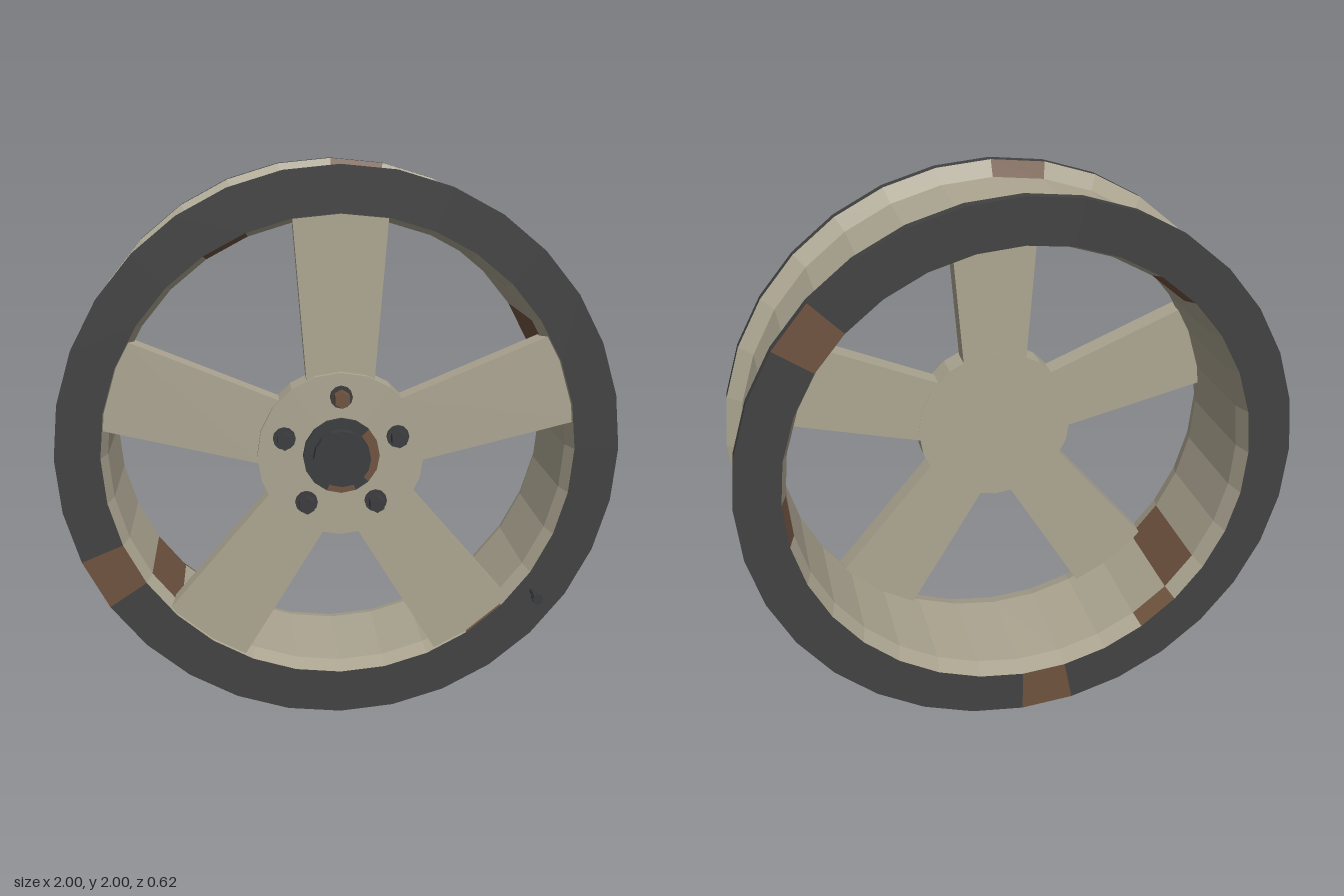
import * as THREE from 'three';

const tan = new THREE.MeshStandardMaterial({ name: 'sandMetal', color: 0xaca591 });
const dark = new THREE.MeshStandardMaterial({ name: 'darkRubber', color: 0x424242 });
const rust = new THREE.MeshStandardMaterial({ name: 'rust', color: 0x6f533f });
const steel = new THREE.MeshStandardMaterial({ name: 'darkSteel', color: 0x3b3c3e });
const SIDES = 32;

// Faceted normals
function flat(geometry) {
  const g = geometry.index ? geometry.toNonIndexed() : geometry;
  g.computeVertexNormals();
  return g;
}

function addMesh(parent, name, geometry, material) {
  const mesh = new THREE.Mesh(geometry, material);
  mesh.name = name;
  parent.add(mesh);
  return mesh;
}

// One band of revolution around z between [radius, z] points;
// listed segments, counted counter-clockwise from +x, are rusty
function band(parent, name, a, b, material, rusty = [], sides = SIDES) {
  const points = [new THREE.Vector2(...a), new THREE.Vector2(...b)];
  const g = new THREE.LatheGeometry(points, sides, Math.PI / 2);
  g.rotateX(Math.PI / 2);
  for (let i = 0; i < sides; i++) g.addGroup(i * 6, 6, rusty.includes(i) ? 1 : 0);
  addMesh(parent, name, flat(g), [material, rust]);
}

// Cylinder along z from z0 to z1
function disc(parent, name, r, z0, z1, sides, material, x = 0, y = 0) {
  const g = new THREE.CylinderGeometry(r, r, z1 - z0, sides);
  g.rotateX(Math.PI / 2);
  g.translate(x, y, (z0 + z1) / 2);
  return addMesh(parent, name, flat(g), material);
}

export function createModel() {
  const model = new THREE.Group();
  model.name = 'wheel';
  const wheel = new THREE.Group();
  wheel.name = 'wheelAssembly';
  wheel.position.y = 1;
  model.add(wheel);

  // Rim: closed section, outside back to front, then inside front to back
  const rim = new THREE.Group();
  rim.name = 'rim';
  wheel.add(rim);
  band(rim, 'backRimEdge', [1, -0.31], [1, -0.27], dark, [15]);
  band(rim, 'backFlare', [1, -0.27], [0.93, -0.24], tan, [7]);
  band(rim, 'outerBarrel', [0.93, -0.24], [0.945, 0.16], tan, [16]);
  band(rim, 'frontFlare', [0.945, 0.16], [1, 0.19], tan, [8, 28]);
  band(rim, 'frontRimEdge', [1, 0.19], [1, 0.225], dark, [0]);
  band(rim, 'frontFlange', [1, 0.225], [0.84, 0.225], dark, [18]);
  band(rim, 'frontBevel', [0.84, 0.225], [0.82, 0.16], tan, [10, 27]);
  band(rim, 'innerBarrel', [0.82, 0.16], [0.82, -0.24], tan, [2, 19]);
  band(rim, 'backBevel', [0.82, -0.24], [0.84, -0.31], tan, [11, 20, 31]);
  band(rim, 'backFlange', [0.84, -0.31], [1, -0.31], dark, [3, 23]);

  // Five tapered spokes
  const outline = new THREE.Shape([
    new THREE.Vector2(-0.119, 0.26), new THREE.Vector2(0.119, 0.26),
    new THREE.Vector2(0.166, 0.85), new THREE.Vector2(-0.166, 0.85),
  ]);
  const spokeGeometry = new THREE.ExtrudeGeometry(outline, { depth: 0.085, bevelEnabled: false });
  for (let i = 0; i < 5; i++) {
    const spoke = addMesh(wheel, 'spoke', spokeGeometry, tan);
    spoke.position.z = 0.131;
    spoke.rotation.z = i * Math.PI * 2 / 5;
  }

  // Hub with centre cap
  disc(wheel, 'hub', 0.295, 0.13, 0.237, 20, tan);
  band(wheel, 'capBaseEdge', [0.135, 0.235], [0.135, 0.255], steel, [0, 1, 11, 12, 14, 15], 16);
  band(wheel, 'capBaseFace', [0.135, 0.255], [0.09, 0.255], steel, [0, 1, 11, 12, 14, 15], 16);
  disc(wheel, 'centreCap', 0.1, 0.237, 0.298, 16, steel);

  // Wheel nuts on washers
  for (let i = 0; i < 5; i++) {
    const angle = Math.PI / 2 + i * Math.PI * 2 / 5;
    const x = 0.21 * Math.cos(angle), y = 0.21 * Math.sin(angle);
    disc(wheel, 'washer', 0.04, 0.235, 0.248, 12, steel, x, y);
    disc(wheel, 'wheelNut', 0.029, 0.245, 0.298, 6, i === 0 ? rust : steel, x, y);
  }

  // Valve
  disc(wheel, 'valveStem', 0.012, 0.215, 0.29, 8, steel, 0.71, -0.54);
  disc(wheel, 'valveCap', 0.02, 0.285, 0.31, 8, steel, 0.71, -0.54);

  return model;
}
